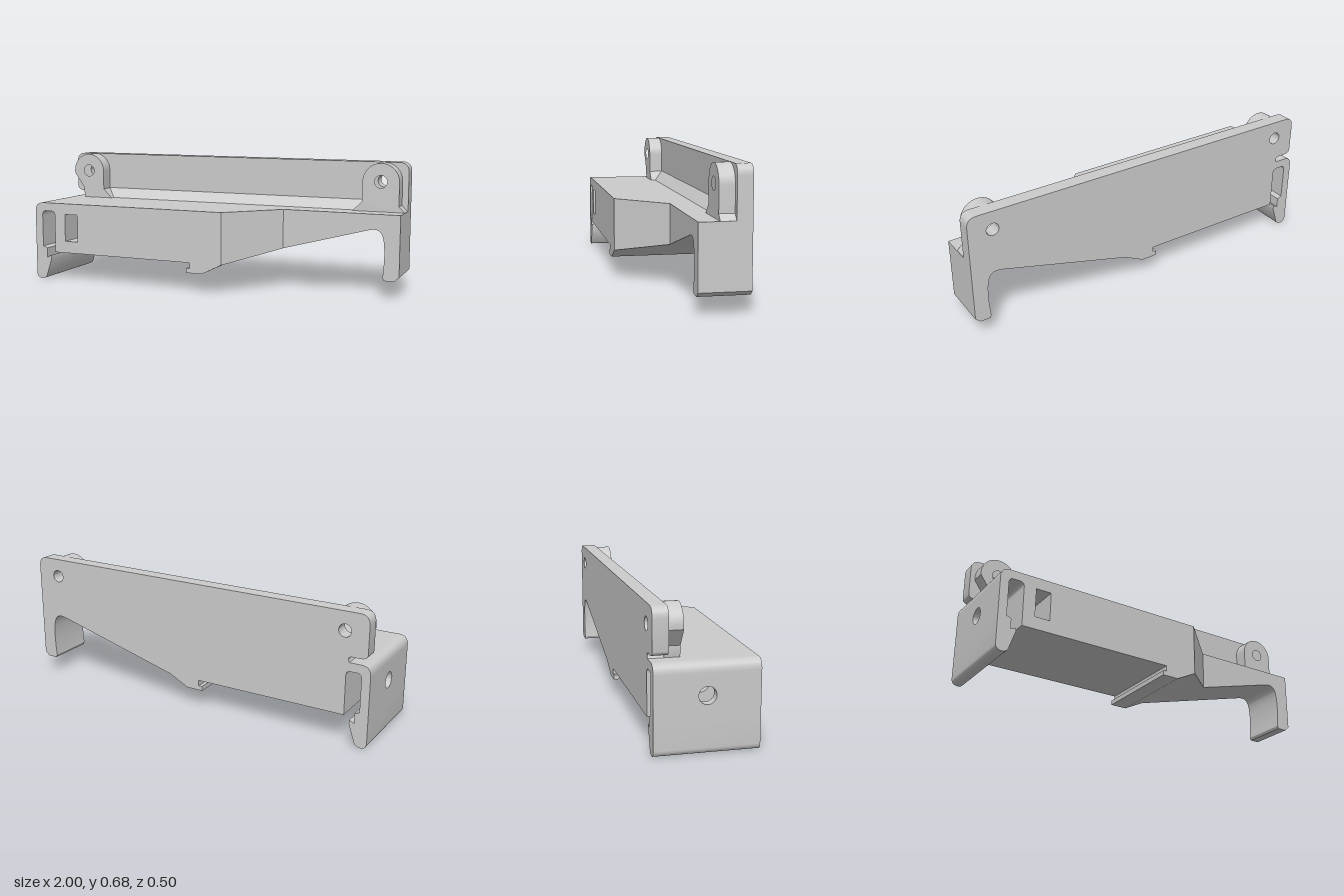
import * as THREE from 'three';
import { toCreasedNormals } from 'three/addons/utils/BufferGeometryUtils.js';

const material = new THREE.MeshStandardMaterial({ color: 0xcccccc });
const BACK = -0.25, FRONT = 0.25, DECK = 0.43;
const PLATE_FRONT = -0.175, LUG_FRONT = -0.1;

function polygon(points) {
  return new THREE.Shape(points.map(([x, y]) => new THREE.Vector2(x, y)));
}

function addHole(shape, x, y, r) {
  shape.holes.push(new THREE.Path().absarc(x, y, r, 0, Math.PI * 2, true));
}

// Extrude an (x, y) profile from z0 to z1
function extrudeZ(shape, z0, z1) {
  return new THREE.ExtrudeGeometry(shape, { depth: z1 - z0, bevelEnabled: false, curveSegments: 16 })
    .translate(0, 0, z0);
}

// Extrude a (-z, y) profile from x0 to x1
function extrudeX(shape, x0, x1) {
  return extrudeZ(shape, 0, x1 - x0).rotateY(Math.PI / 2).translate(x0, 0, 0);
}

export function createModel() {
  const group = new THREE.Group();
  const add = (name, geometry) => {
    const mesh = new THREE.Mesh(toCreasedNormals(geometry, 0.5), material);
    mesh.name = name;
    group.add(mesh);
  };

  // Rear half of the body: latch tooth, sloping underside and right leg
  const tooth = [[-0.73, DECK], [-0.73, 0.155], [-0.05, 0.155], [-0.05, 0.125],
    [-0.07, 0.125], [-0.07, 0.1], [0.02, 0.1], [0.13, 0.155]];
  const rear = polygon(tooth);
  rear.lineTo(0.84, 0.347);
  rear.bezierCurveTo(0.9, 0.362, 0.915, 0.33, 0.92, 0.27);
  rear.quadraticCurveTo(0.926, 0.2, 0.915, 0.105);
  rear.lineTo(0.922, 0.09);
  rear.lineTo(0.975, 0.09);
  rear.lineTo(1, 0.112);
  rear.lineTo(1, DECK);
  add('bodyRear', extrudeZ(rear, BACK, 0));

  // Front half of the body, its right end swept back diagonally
  const front = extrudeZ(polygon([...tooth, [0.38, 0.222], [0.38, DECK]]), 0, FRONT);
  const pos = front.attributes.position;
  for (let i = 0; i < pos.count; i++) {
    if (pos.getZ(i) > 0.1 && pos.getX(i) > 0.2) {
      pos.setX(i, 0.13);
      if (pos.getY(i) < 0.3) pos.setY(i, 0.155);
    }
  }
  front.computeVertexNormals();
  add('bodyFront', front);

  // Slice holding the nut pocket, open to the front with a V-shaped far end
  const nutY = 0.295;
  add('nutPocket', extrudeX(polygon([[-FRONT, 0.155], [-BACK, 0.155], [-BACK, DECK], [-FRONT, DECK],
    [-FRONT, 0.37], [0.043, 0.37], [0.087, nutY], [0.043, 0.22], [-FRONT, 0.22]]), -0.81, -0.73));

  // End slice of the body with the screw hole
  const end = polygon([[-FRONT, 0.155], [-BACK, 0.155], [-BACK, DECK], [-FRONT, DECK]]);
  addHole(end, 0, nutY, 0.042);
  add('screwWall', extrudeX(end, -0.875, -0.81));

  // Spring clip: curved top arm, drilled wall and barbed foot
  const arm = new THREE.Shape();
  arm.moveTo(-0.875, DECK);
  arm.lineTo(-0.95, DECK);
  arm.quadraticCurveTo(-1, DECK, -1, 0.38);
  arm.lineTo(-1, 0.36);
  arm.lineTo(-0.955, 0.36);
  arm.quadraticCurveTo(-0.955, 0.385, -0.93, 0.385);
  arm.lineTo(-0.9, 0.385);
  arm.quadraticCurveTo(-0.875, 0.385, -0.875, 0.36);
  add('clipArm', extrudeZ(arm, BACK, FRONT));

  const wall = polygon([[-FRONT, 0.185], [-BACK, 0.185], [-BACK, 0.36], [-FRONT, 0.36]]);
  addHole(wall, 0, nutY - 0.02, 0.042);
  add('clipWall', extrudeX(wall, -1, -0.955));

  const foot = polygon([[-0.955, 0.185], [-1, 0.185], [-1, 0.03]]);
  foot.quadraticCurveTo(-0.998, 0.002, -0.97, 0);
  foot.quadraticCurveTo(-0.942, 0, -0.935, 0.02);
  foot.lineTo(-0.903, 0.115);
  foot.lineTo(-0.905, 0.135);
  foot.lineTo(-0.93, 0.122);
  foot.lineTo(-0.93, 0.175);
  add('clipFoot', extrudeZ(foot, BACK, FRONT));

  // Back plate with rounded corners, undercut at the left end
  const pins = [-0.86, 0.872], pinY = 0.585, pinR = 0.033, lugR = 0.096;
  const plate = new THREE.Shape();
  plate.moveTo(-0.89, DECK);
  plate.lineTo(1, DECK);
  plate.lineTo(1, 0.63);
  plate.quadraticCurveTo(1, 0.682, 0.95, 0.682);
  plate.lineTo(-0.93, 0.682);
  plate.quadraticCurveTo(-0.982, 0.682, -0.982, 0.63);
  plate.lineTo(-0.982, 0.485);
  plate.quadraticCurveTo(-0.98, 0.462, -0.95, 0.46);
  plate.lineTo(-0.9, 0.46);
  plate.quadraticCurveTo(-0.875, 0.455, -0.89, DECK);
  pins.forEach((x) => addHole(plate, x, pinY, pinR));
  add('backPlate', extrudeZ(plate, BACK, PLATE_FRONT));

  // Hinge lugs with flared feet
  const lugFeet = [
    { name: 'rightLug', left: [[-0.89, DECK], [-0.895, 0.46], [-0.895, 0.485], [-0.956, 0.57]],
      right: [[-0.764, 0.48], [-0.712, DECK]] },
    { name: 'leftLug', left: [[0.724, DECK], [0.776, 0.48]],
      right: [[0.968, 0.46], [0.998, DECK]] },
  ];
  lugFeet.forEach(({ name, left, right }, i) => {
    const lug = polygon(left);
    lug.absarc(pins[i], pinY, lugR, Math.PI, 0, true);
    right.forEach(([x, y]) => lug.lineTo(x, y));
    addHole(lug, pins[i], pinY, pinR);
    add(name, extrudeZ(lug, PLATE_FRONT, LUG_FRONT));
  });

  // Sloped fillet between deck and plate
  add('plateFillet', extrudeX(polygon([[0.125, DECK], [0.175, DECK], [0.175, 0.482]]), -0.765, 0.777));

  return group;
}
